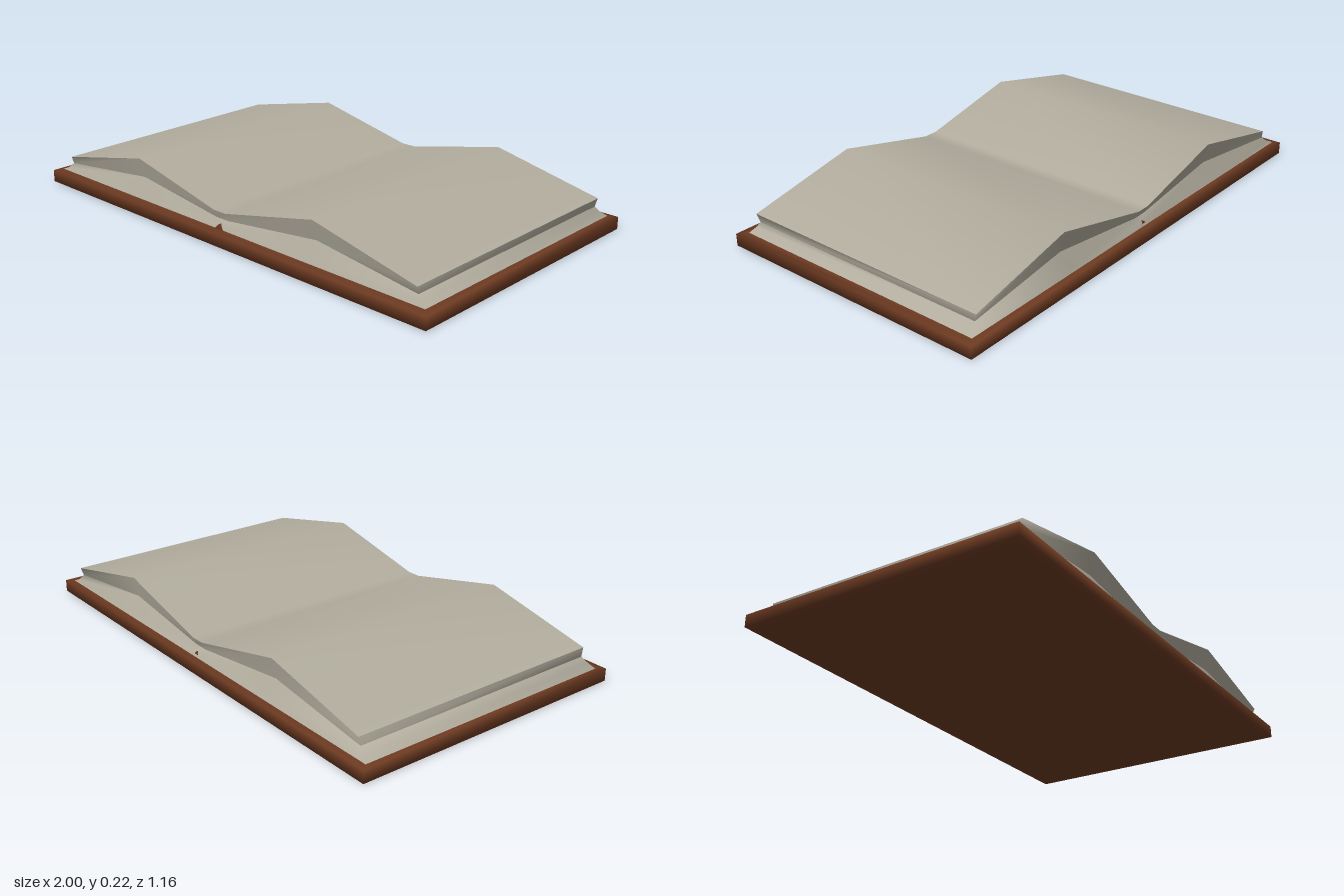
import * as THREE from 'three';

const pageMat = new THREE.MeshStandardMaterial({ color: 0xb3ae9f, side: THREE.DoubleSide });
pageMat.name = 'aged paper';
const coverMat = new THREE.MeshStandardMaterial({ color: 0x6e3b22 });
coverMat.name = 'brown leather';

// Skins rows of [x, y, z] points, closing each row into a loop if asked
function skin(rows, closed, name, material) {
  const n = rows[0].length;
  const index = [];
  for (let i = 0; i < rows.length - 1; i++) {
    for (let j = 0; j < (closed ? n : n - 1); j++) {
      const k = (j + 1) % n;
      const a = i * n + j, b = i * n + k, c = (i + 1) * n + k, d = (i + 1) * n + j;
      index.push(a, b, c, a, c, d);
    }
  }
  const geo = new THREE.BufferGeometry();
  geo.setAttribute('position', new THREE.Float32BufferAttribute(rows.flat(2), 3));
  geo.setIndex(index);
  geo.computeVertexNormals();
  const mesh = new THREE.Mesh(geo, material);
  mesh.name = name;
  return mesh;
}

// Rectangular loop, counter-clockwise from above
const rect = (x, y, z) => [[-x, y, z], [x, y, z], [x, y, -z], [-x, y, -z]];

// Page outline from the left fore edge to the right: x and height at each level
const xTop = [-0.92, -0.46, -0.03, 0.03, 0.47, 0.93];
const yTop = [0.12, 0.22, 0.122, 0.122, 0.22, 0.12];
const xWaist = [-0.925, -0.46, -0.03, 0.03, 0.47, 0.925];
const yWaist = [0.088, 0.138, 0.09, 0.09, 0.138, 0.088];
const zWaist = [0.527, 0.517, 0.527, 0.527, 0.517, 0.527];
const xBase = [-0.98, -0.46, -0.03, 0.03, 0.47, 0.97];
const zBackTop = [-0.535, -0.537, -0.545, -0.545, -0.537, -0.54];

export function createModel() {
  const book = new THREE.Group();
  book.name = 'openBook';

  // Cover board with softly shaded edges
  book.add(skin([
    rect(0, 0, 0), rect(0.965, 0, 0.545), rect(1, 0.003, 0.58),
    rect(1, 0.052, 0.58), rect(0.975, 0.055, 0.555), rect(0, 0.055, 0),
  ], true, 'cover', coverMat));

  // Small spine ridge under the gutter
  const ridgeShape = new THREE.Shape([
    new THREE.Vector2(-0.025, 0.05), new THREE.Vector2(0.025, 0.05), new THREE.Vector2(0.003, 0.076),
  ]);
  const ridge = new THREE.Mesh(
    new THREE.ExtrudeGeometry(ridgeShape, { depth: 1.1, bevelEnabled: false }), coverMat);
  ridge.position.z = -0.55;
  ridge.name = 'spineRidge';
  book.add(ridge);

  // Page block: top spread, overhanging upper edge, flared lower edge
  const topFront = xTop.map((x, i) => [x, yTop[i], 0.54]);
  const topBack = xTop.map((x, i) => [x, yTop[i], zBackTop[i]]);
  const loop = (front, back) => [...front, ...[...back].reverse()];
  const top = loop(topFront, topBack);
  const waist = loop(
    xWaist.map((x, i) => [x, yWaist[i], zWaist[i]]),
    xWaist.map((x, i) => [x, yWaist[i], -zWaist[i] - 0.003]));
  const foot = loop(
    xBase.map(x => [x * 0.965, 0.068, 0.54]),
    xBase.map(x => [x * 0.965, 0.068, -0.548]));
  const base = loop(
    xBase.map(x => [x, 0.054, 0.545]),
    xBase.map(x => [x, 0.054, -0.555]));
  book.add(skin([topFront, topBack], false, 'pageSpread', pageMat));
  book.add(skin([waist, top], true, 'upperPageEdges', pageMat));
  book.add(skin([base, foot, waist], true, 'lowerPageEdges', pageMat));

  return book;
}
